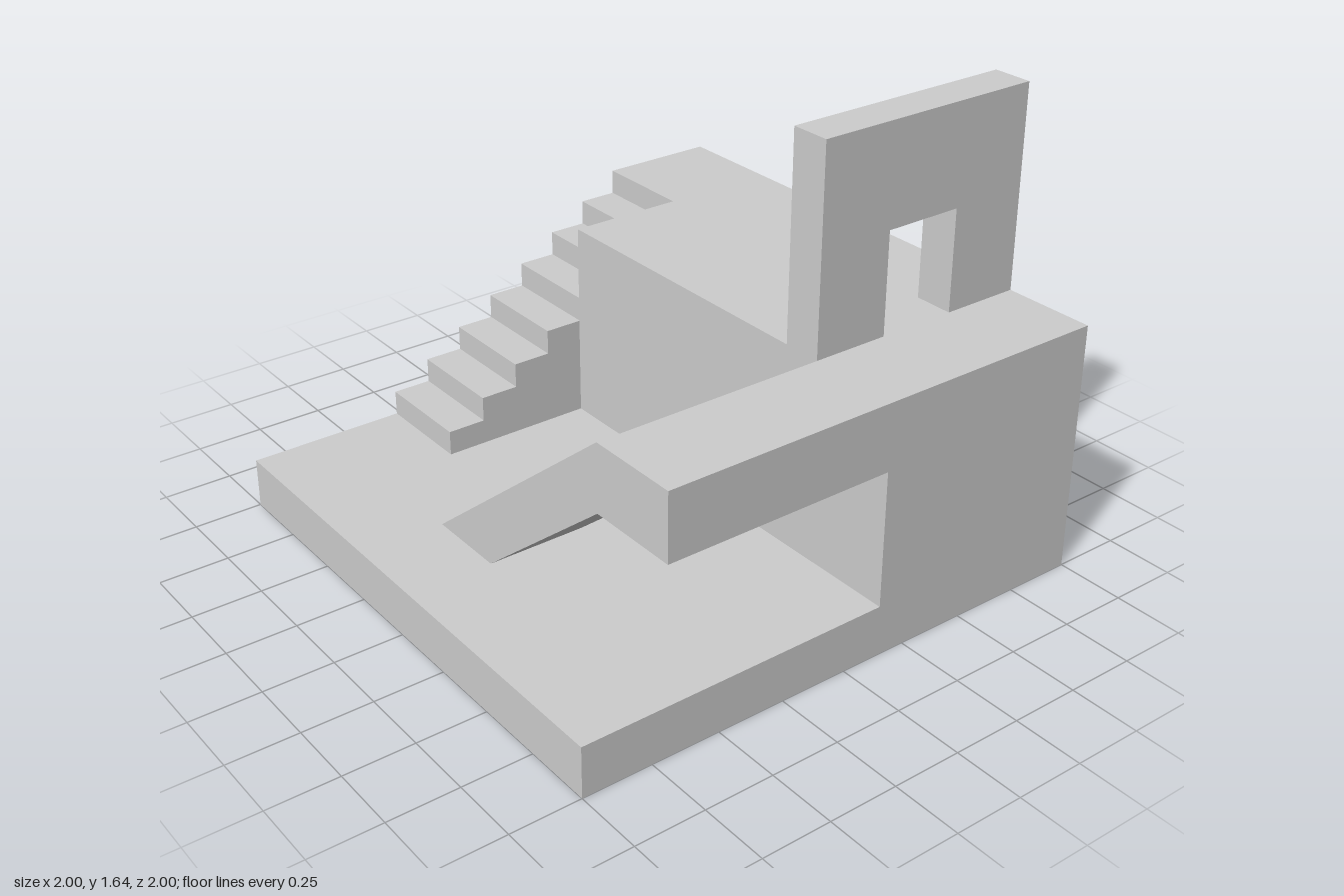
import * as THREE from 'three';

const material = new THREE.MeshStandardMaterial({ color: 0xcccccc, flatShading: true });

// Main levels and lines shared by the parts
const FLOOR = 0.182, DECK = 0.909, SOFFIT = 0.67;
const FRONT = -0.143, STAIR_X = -0.62, BRIDGE_X = 0.663, BRIDGE_Z = 0.695;

function add(group, name, geometry) {
  const mesh = new THREE.Mesh(geometry, material);
  mesh.name = name;
  group.add(mesh);
}

// Box given by its two opposite corners
function block(x0, x1, y0, y1, z0, z1) {
  return new THREE.BoxGeometry(x1 - x0, y1 - y0, z1 - z0)
    .translate((x0 + x1) / 2, (y0 + y1) / 2, (z0 + z1) / 2);
}

function prism(points, depth) {
  const shape = new THREE.Shape(points.map(([a, b]) => new THREE.Vector2(a, b)));
  return new THREE.ExtrudeGeometry(shape, { depth, bevelEnabled: false });
}

// Profile in (z, y), extruded between x0 and x1
function sideProfile(points, x0, x1) {
  return prism(points, x1 - x0).rotateY(-Math.PI / 2).translate(x1, 0, 0);
}

export function createModel() {
  const group = new THREE.Group();
  group.name = 'terraceWithStairsAndRamp';

  add(group, 'baseSlab', block(-1, 1, 0, FLOOR, -1, 1));
  add(group, 'terrace', block(STAIR_X, 1, FLOOR, DECK, -1, FRONT));

  // Staircase, cut into the terrace at its upper half
  const steps = 8, rise = (DECK - FLOOR) / steps, run = 0.1425, foot = 0.425;
  const stairs = [[-1, FLOOR], [foot, FLOOR]];
  for (let i = 0; i < steps; i++) {
    const y = FLOOR + (i + 1) * rise;
    stairs.push([foot - i * run, y]);
    stairs.push([i === steps - 1 ? -1 : foot - (i + 1) * run, y]);
  }
  add(group, 'staircase', sideProfile(stairs, -1, STAIR_X));

  // Raised walkway and the sloping ramp that reaches it
  add(group, 'walkway', block(BRIDGE_X, 1, SOFFIT, DECK, FRONT, BRIDGE_Z));
  const rampBack = 0.337;
  add(group, 'ramp', prism(
    [[-0.24, FLOOR], [0.06, FLOOR], [BRIDGE_X, SOFFIT], [BRIDGE_X, DECK]],
    BRIDGE_Z - rampBack).translate(0, 0, rampBack));

  // Wall with a doorway
  add(group, 'doorwayWall', sideProfile([
    [-1, DECK], [-0.713, DECK], [-0.713, 1.275], [-0.424, 1.275],
    [-0.424, DECK], [FRONT, DECK], [FRONT, 1.638], [-1, 1.638],
  ], 0.52, BRIDGE_X));

  return group;
}
